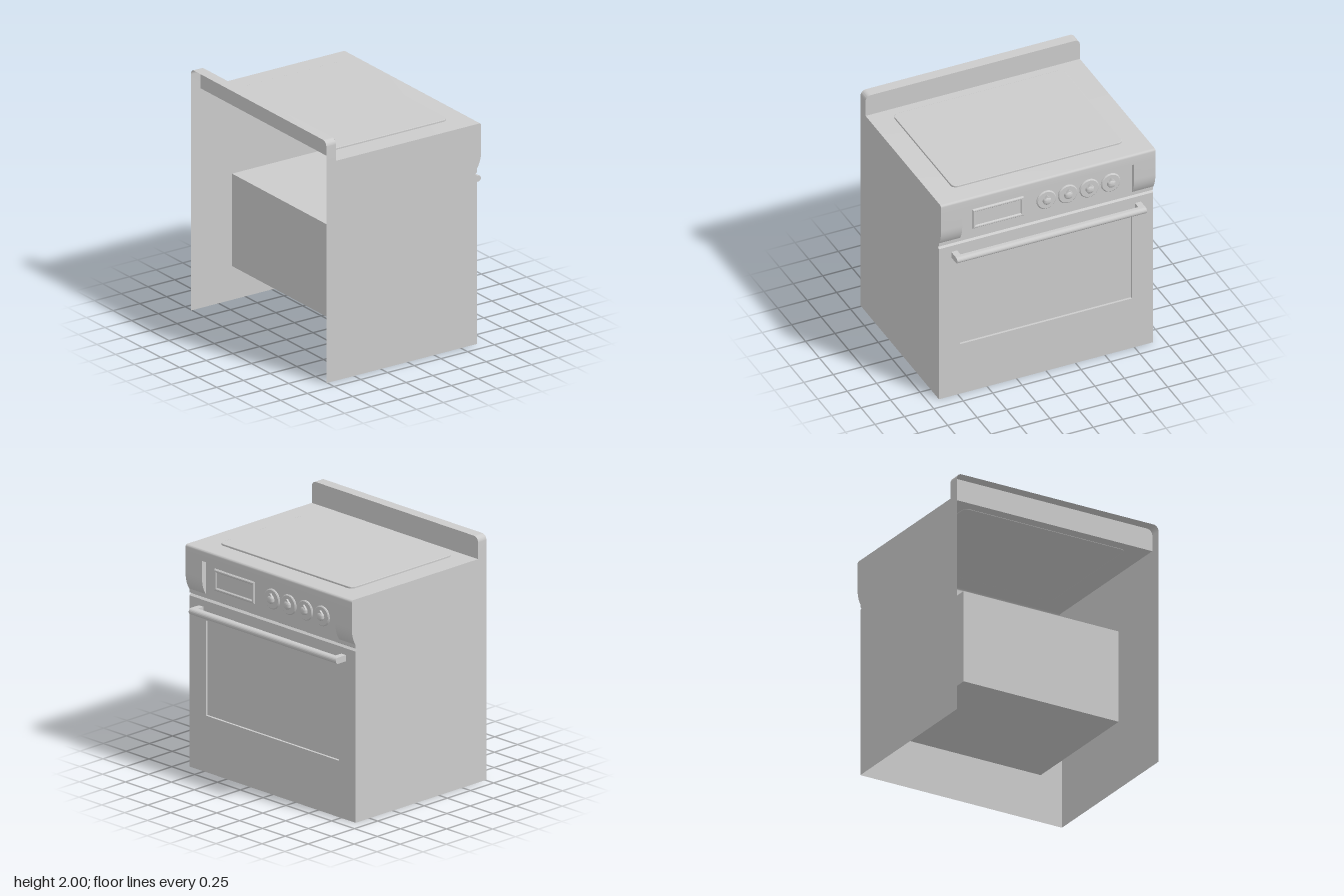
import * as THREE from 'three';
import { toCreasedNormals } from 'three/addons/utils/BufferGeometryUtils.js';

const HALF = 0.91; // half width of the body along z
const PANEL = 0.73; // half width of the window and control recess
const FRONT = 0.65; // x of the door plane

export function createModel() {
  const model = new THREE.Group();
  const grey = new THREE.MeshStandardMaterial({ color: 0xcccccc, side: THREE.DoubleSide });

  const add = (name, geometry, x = 0, y = 0, z = 0, parent = model) => {
    const mesh = new THREE.Mesh(geometry, grey);
    mesh.name = name;
    mesh.position.set(x, y, z);
    parent.add(mesh);
    return mesh;
  };

  // open strip: an x-y profile swept from z0 to z1
  const strip = (profile, z0, z1) => {
    const pos = [], index = [];
    profile.forEach((p, i) => {
      pos.push(p.x, p.y, z0, p.x, p.y, z1);
      if (i) {
        const a = 2 * i - 2;
        index.push(a, a + 1, a + 2, a + 1, a + 3, a + 2);
      }
    });
    const g = new THREE.BufferGeometry();
    g.setAttribute('position', new THREE.Float32BufferAttribute(pos, 3));
    g.setIndex(index);
    return toCreasedNormals(g, 0.6);
  };

  const rect = (w, y0, y1, r = 0, Type = THREE.Shape) => {
    const s = new Type();
    s.moveTo(-w + r, y0).lineTo(w - r, y0);
    if (r) s.absarc(w - r, y0 + r, r, -Math.PI / 2, 0);
    s.lineTo(w, y1 - r);
    if (r) s.absarc(w - r, y1 - r, r, 0, Math.PI / 2);
    s.lineTo(-w + r, y1);
    if (r) s.absarc(-w + r, y1 - r, r, Math.PI / 2, Math.PI);
    s.lineTo(-w, y0 + r);
    if (r) s.absarc(-w + r, y0 + r, r, Math.PI, Math.PI * 1.5);
    return s;
  };
  const facingFront = (g) => g.rotateY(Math.PI / 2);
  const v = (x, y) => new THREE.Vector2(x, y);

  // profile pieces of the shell, from the top down the front
  const lip = new THREE.QuadraticBezierCurve(v(0.67, 1.82), v(0.69, 1.82), v(0.69, 1.8)).getPoints(5);
  const top = [v(-0.67, 1.82), ...lip, v(0.69, 1.73)];
  const fascia = [v(0.69, 1.73),
    ...new THREE.QuadraticBezierCurve(v(0.69, 1.59), v(0.69, 1.51), v(FRONT, 1.45)).getPoints(10)];
  const groove = [v(FRONT, 1.45), v(FRONT, 1.42), v(0.632, 1.41), v(FRONT, 1.395)];

  // shell, open at the back and underneath
  add('topPanel', strip(top, -HALF, HALF));
  add('doorGroove', strip(groove, -HALF, HALF));
  const sideShape = new THREE.Shape([v(-0.76, 0), v(-0.76, 1.82), ...top, ...fascia.slice(1),
    ...groove.slice(1), v(FRONT, 0)]);
  const recessSide = new THREE.Shape([...fascia, v(FRONT, 1.73)]);
  for (const s of [-1, 1]) {
    add('sidePanel', new THREE.ShapeGeometry(sideShape), 0, 0, s * HALF);
    add('fasciaEnd', strip(fascia, s > 0 ? PANEL : -HALF, s > 0 ? HALF : -PANEL));
    add('controlRecessSide', new THREE.ShapeGeometry(recessSide), 0, 0, s * PANEL);
  }
  add('controlRecessTop', strip([v(FRONT, 1.73), v(0.69, 1.73)], -PANEL, PANEL));
  add('controlPanel', facingFront(new THREE.ShapeGeometry(rect(PANEL, 1.45, 1.73))), FRONT);

  // hollow backsplash with rounded top corners
  const splash = new THREE.Shape();
  splash.moveTo(HALF, 1.82).lineTo(HALF, 1.955);
  splash.absarc(HALF - 0.045, 1.955, 0.045, 0, Math.PI / 2);
  splash.lineTo(-HALF + 0.045, 2);
  splash.absarc(-HALF + 0.045, 1.955, 0.045, Math.PI / 2, Math.PI);
  splash.lineTo(-HALF, 1.82);
  add('backsplashFront', facingFront(new THREE.ShapeGeometry(splash)), -0.67);
  add('backsplashRim', facingFront(strip(splash.getPoints(8), 0, 0.09)), -0.76);

  // cooktop plate
  const plate = new THREE.ExtrudeGeometry(rect(0.725, -0.545, 0.545, 0.045), {
    depth: 0.011, bevelEnabled: true, bevelSize: 0.004, bevelThickness: 0.004, bevelOffset: -0.004, bevelSegments: 2,
  });
  plate.rotateX(-Math.PI / 2).rotateY(Math.PI / 2);
  add('cooktop', plate, -0.035, 1.82, 0);

  // door with a slightly sunken window
  const door = rect(HALF, 0, 1.395);
  door.holes.push(rect(PANEL, 0.46, 1.235, 0, THREE.Path));
  add('door', facingFront(new THREE.ShapeGeometry(door)), FRONT);
  add('windowGlass', facingFront(new THREE.ShapeGeometry(rect(PANEL, 0.46, 1.235))), 0.63);
  for (const y of [0.46, 1.235]) add('windowEdge', strip([v(0.63, y), v(FRONT, y)], -PANEL, PANEL));
  for (const s of [-1, 1]) {
    add('windowEdge', new THREE.PlaneGeometry(0.02, 0.775), 0.64, 0.8475, s * PANEL);
  }

  // oven cavity seen through the open back, with a ring of vent dots
  add('ovenCavity', new THREE.BoxGeometry(1.14, 0.765, 1.4), 0.05, 0.765, 0);
  const dot = facingFront(new THREE.CircleGeometry(0.006, 6));
  for (let i = 0; i < 24; i++) {
    const a = (i / 24) * Math.PI * 2;
    add('ventDot', dot, -0.522, 0.76 + 0.18 * Math.sin(a), 0.18 * Math.cos(a));
  }

  // handle: bar with a rounded outer edge on two posts
  const handle = new THREE.Group();
  handle.name = 'handle';
  model.add(handle);
  const bar = new THREE.Shape();
  bar.moveTo(0.71, 1.29).lineTo(0.735, 1.29);
  bar.absarc(0.735, 1.315, 0.025, -Math.PI / 2, Math.PI / 2);
  bar.lineTo(0.71, 1.34);
  const barGeometry = new THREE.ExtrudeGeometry(bar, { depth: 1.61, bevelEnabled: false, curveSegments: 12 });
  add('handleBar', toCreasedNormals(barGeometry, 0.6), 0, 0, -0.805, handle);
  for (const s of [-1, 1]) {
    add('handlePost', new THREE.BoxGeometry(0.07, 0.05, 0.05), 0.68, 1.315, s * 0.78, handle);
  }

  // display with a bevelled frame
  const frame = rect(0.21, -0.08, 0.08);
  frame.holes.push(rect(0.2, -0.07, 0.07, 0, THREE.Path));
  const frameGeometry = new THREE.ExtrudeGeometry(frame, {
    depth: 0.004, bevelEnabled: true, bevelSize: 0.009, bevelThickness: 0.01, bevelSegments: 1,
  });
  add('displayFrame', facingFront(frameGeometry), FRONT, 1.595, 0.41);
  add('displayScreen', facingFront(new THREE.PlaneGeometry(0.4, 0.14)), FRONT + 0.004, 1.595, 0.41);

  // four knobs, each a bevelled disc with a pointed grip
  const discProfile = [v(0.082, 0), v(0.082, 0.006), v(0.074, 0.013), v(0, 0.013)];
  const disc = toCreasedNormals(new THREE.LatheGeometry(discProfile, 32).rotateZ(-Math.PI / 2), 0.4);
  const gripProfile = [v(0.035, 0.012), v(0.034, 0.026), v(0.028, 0.034), v(0.015, 0.038), v(0, 0.039)];
  const grip = toCreasedNormals(new THREE.LatheGeometry(gripProfile, 24).rotateZ(-Math.PI / 2), 0.8);
  const tip = new THREE.Shape([v(-0.025, 0.023), v(0.025, 0.023), v(0, 0.05)]);
  const pointer = facingFront(new THREE.ExtrudeGeometry(tip, { depth: 0.02, bevelEnabled: false }));
  for (let i = 0; i < 4; i++) {
    const knob = new THREE.Group();
    knob.name = 'knob';
    knob.position.set(FRONT, 1.595, -0.182 * i);
    add('knobDisc', disc, 0, 0, 0, knob);
    add('knobGrip', grip, 0, 0, 0, knob);
    add('knobPointer', pointer, 0.01, 0, 0, knob);
    model.add(knob);
  }
  return model;
}
